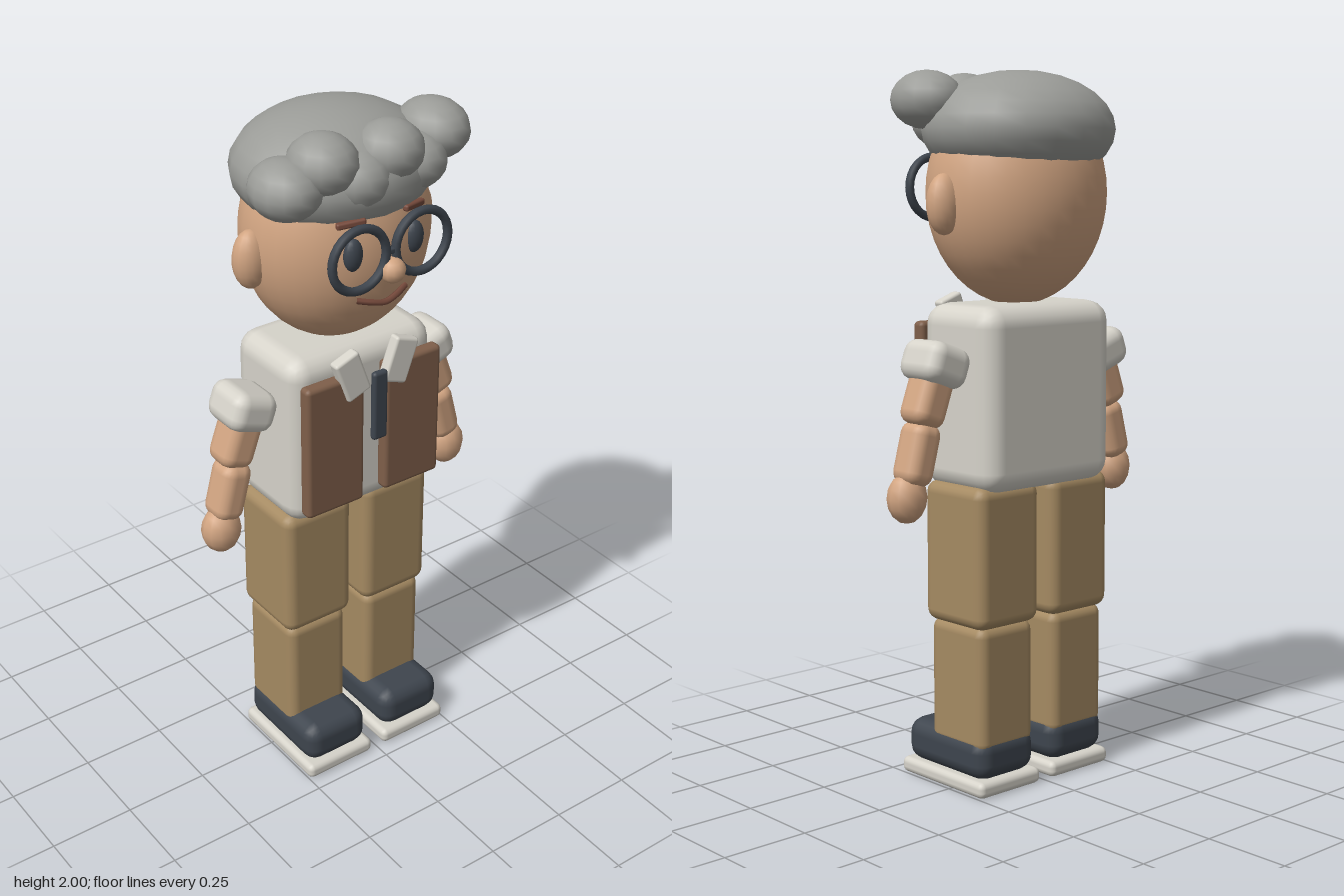
import * as THREE from 'three';
import { RoundedBoxGeometry } from 'three/addons/geometries/RoundedBoxGeometry.js';

const mat = (name, color) => {
  const m = new THREE.MeshStandardMaterial({ color });
  m.name = name;
  return m;
};

export function createModel() {
  const skin = mat('skin', 0xd2a582);
  const grey = mat('grey hair', 0x9b9c98);
  const shirt = mat('shirt white', 0xd6d3ca);
  const brown = mat('vest brown', 0x7f5f4a);
  const tan = mat('trouser tan', 0xa58a62);
  const dark = mat('charcoal', 0x3e454e);
  const lip = mat('brow and lip brown', 0x764a3c);

  const model = new THREE.Group();
  model.name = 'figure';

  const add = (name, geo, material, x, y, z, rz = 0) => {
    const m = new THREE.Mesh(geo, material);
    m.name = name;
    m.position.set(x, y, z);
    m.rotation.z = rz;
    model.add(m);
    return m;
  };
  const box = (name, material, [w, h, d], r, [x, y, z], rz = 0) =>
    add(name, new RoundedBoxGeometry(w, h, d, 2, r), material, x, y, z, rz);
  const ball = (name, material, [rx, ry, rz], [x, y, z], seg = 16) =>
    add(name, new THREE.SphereGeometry(1, seg, Math.round(seg * 0.7)).scale(rx, ry, rz), material, x, y, z);

  // Head and nose
  ball('head', skin, [0.27, 0.31, 0.23], [0, 1.665, -0.013], 32);
  ball('nose', skin, [0.036, 0.035, 0.036], [0, 1.628, 0.237], 12);

  // Hair cap and a row of curls alternating low and high
  ball('hairCap', grey, [0.282, 0.16, 0.255], [0, 1.84, -0.022], 20);
  const curls = [
    [-0.235, 1.863, 0.1, 0.105], [-0.14, 1.917, 0.127, 0.098], [-0.05, 1.863, 0.148, 0.092],
    [0.05, 1.917, 0.15, 0.092], [0.14, 1.863, 0.127, 0.098], [0.232, 1.917, 0.097, 0.11],
  ];
  curls.forEach(([x, y, z, rz]) => ball('hairCurl', grey, [0.094, 0.08, rz], [x, y, z], 14));

  // Mouth: a shallow curved smile
  const smile = new THREE.CatmullRomCurve3([
    new THREE.Vector3(-0.08, 1.543, 0.189), new THREE.Vector3(-0.04, 1.533, 0.204),
    new THREE.Vector3(0, 1.525, 0.209),
    new THREE.Vector3(0.04, 1.533, 0.204), new THREE.Vector3(0.08, 1.543, 0.189),
  ]);
  add('mouth', new THREE.TubeGeometry(smile, 16, 0.009, 6), lip, 0, 0, 0);

  // Glasses bridge
  box('glassesBridge', dark, [0.03, 0.016, 0.016], 0.005, [0, 1.68, 0.23]);

  // Torso and tie
  box('torso', shirt, [0.48, 0.515, 0.295], 0.06, [0, 1.108, -0.017]);
  box('tie', dark, [0.048, 0.21, 0.022], 0.01, [0, 1.205, 0.189]);

  // Mirrored parts
  for (const s of [-1, 1]) {
    // Face
    ball('ear', skin, [0.052, 0.083, 0.044], [s * 0.268, 1.637, -0.014]);
    ball('eye', dark, [0.028, 0.045, 0.02], [s * 0.098, 1.682, 0.2]);
    const brow = box('eyebrow', lip, [0.08, 0.018, 0.018], 0.006, [s * 0.1, 1.767, 0.193], s * -0.08);
    brow.rotation.y = s * 0.3;
    add('glassesRim', new THREE.TorusGeometry(0.085, 0.0125, 8, 28), dark, s * 0.1, 1.68, 0.23);

    // Vest and collar
    box('vestPanel', brown, [0.19, 0.405, 0.042], 0.014, [s * 0.13, 1.108, 0.154]);
    box('collar', shirt, [0.08, 0.132, 0.036], 0.009, [s * 0.08, 1.312, 0.167], s * -0.35);

    // Arm
    box('sleeve', shirt, [0.145, 0.115, 0.158], 0.04, [s * 0.305, 1.21, -0.017], s * 0.35);
    box('upperArm', skin, [0.105, 0.17, 0.108], 0.035, [s * 0.33, 1.125, -0.014], s * 0.35);
    box('forearm', skin, [0.092, 0.175, 0.102], 0.035, [s * 0.366, 0.97, -0.01], s * 0.26);
    ball('hand', skin, [0.058, 0.07, 0.052], [s * 0.396, 0.852, -0.004], 12);

    // Leg and shoe
    box('thigh', tan, [0.228, 0.4, 0.245], 0.034, [s * 0.136, 0.673, -0.016]);
    box('shin', tan, [0.2, 0.36, 0.222], 0.03, [s * 0.137, 0.3, -0.016]);
    box('shoe', dark, [0.213, 0.125, 0.333], 0.045, [s * 0.137, 0.103, 0.034]);
    box('sole', shirt, [0.23, 0.046, 0.35], 0.018, [s * 0.136, 0.023, 0.035]);
  }

  return model;
}
